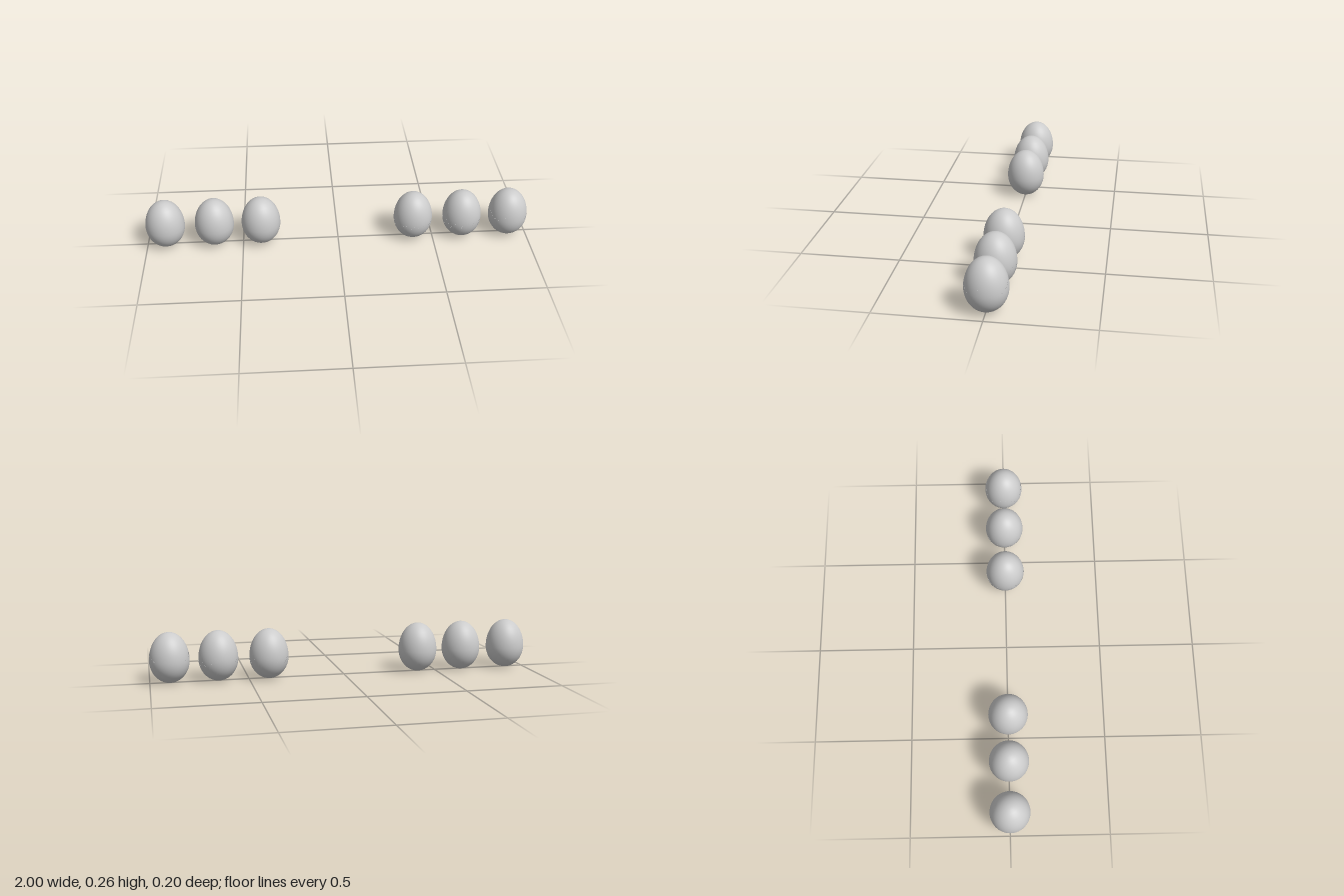
import * as THREE from 'three';

const RADIUS = 0.101, BELLY = 0.116, UP = 0.143, DOWN = 0.116;
const material = new THREE.MeshStandardMaterial({ color: 0xcccccc, side: THREE.DoubleSide });

// Egg surface between two latitudes, each given as a function of the angle round the egg
function eggShell(name, lower, upper, scale = 1, rows = 20, sides = 48) {
  const rail = Array.from({ length: rows + 1 }, (_, i) => new THREE.Vector2(1, i));
  const geometry = new THREE.LatheGeometry(rail, sides);
  const pos = geometry.attributes.position, nor = geometry.attributes.normal;
  const n = new THREE.Vector3();
  for (let i = 0; i < pos.count; i++) {
    const a = Math.atan2(pos.getX(i), pos.getZ(i));
    const lat = THREE.MathUtils.lerp(lower(a), upper(a), pos.getY(i) / rows);
    const h = lat > 0 ? UP : DOWN;
    const r = Math.cos(lat), s = Math.sin(lat);
    pos.setXYZ(i, RADIUS * scale * r * Math.sin(a), BELLY + h * scale * s, RADIUS * scale * r * Math.cos(a));
    n.set(r * Math.sin(a) / RADIUS, s / h, r * Math.cos(a) / RADIUS).normalize();
    nor.setXYZ(i, n.x, n.y, n.z);
  }
  const mesh = new THREE.Mesh(geometry, material);
  mesh.name = name;
  return mesh;
}

const bottom = () => -Math.PI / 2;
const top = () => Math.PI / 2;

// Zigzag crack line: triangle wave of latitude
const zigzag = (teeth, middle, height) => a => {
  const t = ((a / (2 * Math.PI)) * teeth + teeth) % 1;
  return middle + height * (Math.abs(t * 2 - 1) - 0.5);
};

export function createModel() {
  const group = new THREE.Group();
  group.name = 'eggs';

  // Whole eggs
  [-0.899, -0.645, -0.403].forEach((x, i) => {
    const egg = eggShell(`wholeEgg${i + 1}`, bottom, top);
    egg.position.x = x;
    group.add(egg);
  });

  // Eggs split into a lower shell and a cap along a zigzag crack
  [
    [0.395, 12, -0.1, 0.25],
    [0.654, 12, -0.15, 0.35],
    [0.899, 4, 0.15, 0.3],
  ].forEach(([x, teeth, middle, height], i) => {
    const crack = zigzag(teeth, middle, height);
    const egg = new THREE.Group();
    egg.name = `crackedEgg${i + 1}`;
    egg.add(eggShell('lowerShell', bottom, crack), eggShell('shellCap', crack, top, 0.995));
    egg.position.x = x;
    group.add(egg);
  });
  return group;
}
